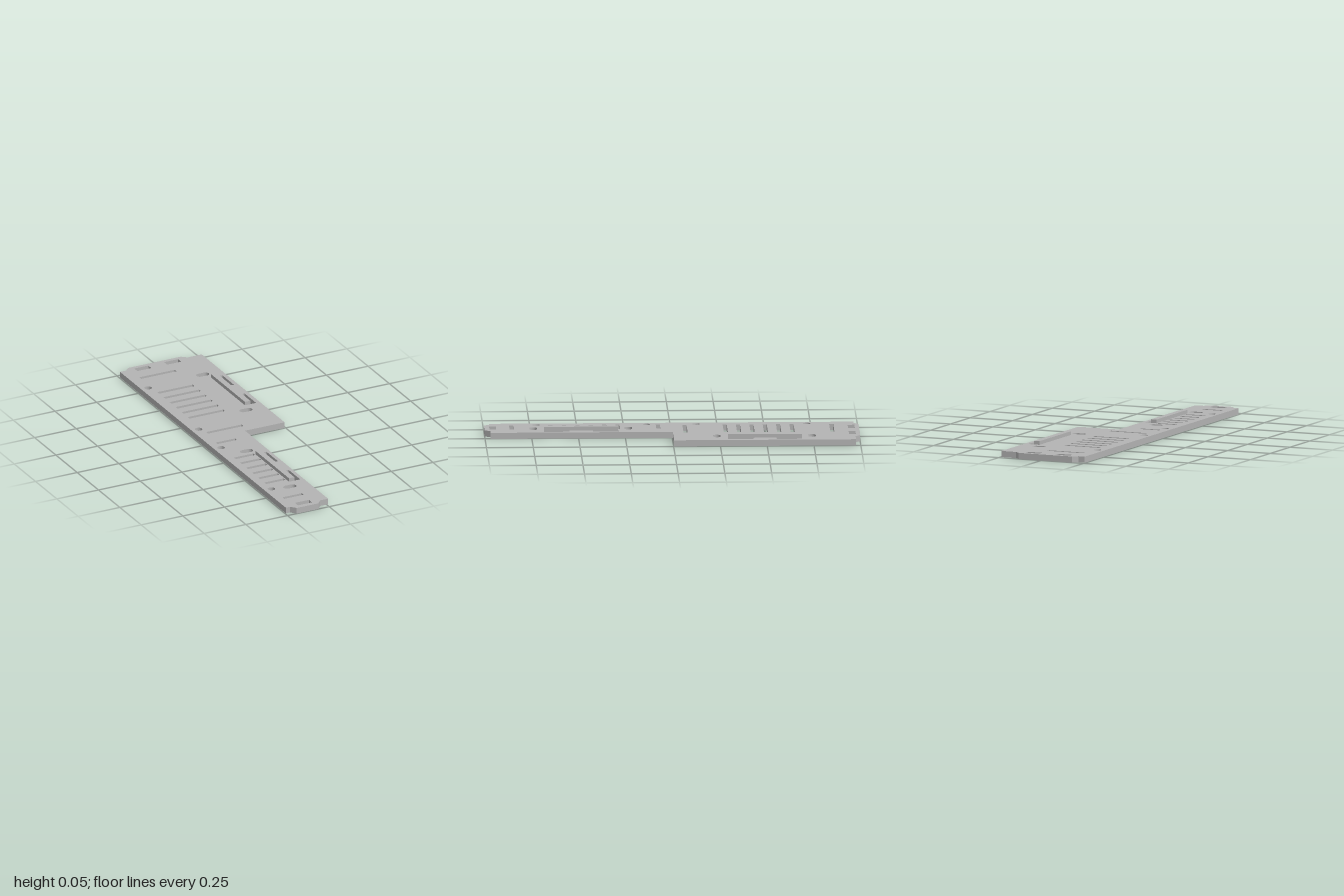
import * as THREE from 'three';

const THICK = 0.033, RAIL_TOP = 0.053;

// Hole outlines in plan, as (x, z)
function rectHole(x0, x1, z0, z1) {
  return new THREE.Path([[x0, z0], [x1, z0], [x1, z1], [x0, z1]].map(p => new THREE.Vector2(...p)));
}
function roundHole(x, z, r) {
  return new THREE.Path().absarc(x, z, r, 0, Math.PI * 2);
}
function ovalHole(x, z, half, r) {
  const path = new THREE.Path();
  path.absarc(x + half - r, z, r, -Math.PI / 2, Math.PI / 2);
  path.absarc(x - half + r, z, r, Math.PI / 2, Math.PI * 1.5);
  path.closePath();
  return path;
}

export function createModel() {
  const model = new THREE.Group();
  const grey = new THREE.MeshStandardMaterial({ color: 0xb4b4b4 });
  grey.name = 'plain grey';

  // Stepped plate: wide at the back, narrow at the front, chamfered end tabs
  const outline = new THREE.Shape([
    [-0.245, -0.975], [-0.209, -0.975], [-0.183, -1], [0.132, -1], [0.16, -0.975], [0.245, -0.975],
    [0.245, -0.003], [0.008, -0.003], [0.008, 0.97],
    [-0.04, 0.97], [-0.065, 1], [-0.195, 1], [-0.22, 0.97], [-0.245, 0.97],
  ].map(p => new THREE.Vector2(...p)));

  // Thin cross slots, mirrored front to back
  for (const z of [0.071, 0.286, 0.357, 0.429, 0.5, 0.571, 0.643, 0.855]) {
    outline.holes.push(rectHole(-0.185, 0.027, -z - 0.011, -z + 0.011));
    outline.holes.push(rectHole(-0.201, -0.085, z - 0.011, z + 0.011));
  }
  // Screw holes
  for (const z of [-0.725, -0.133, 0.131, 0.721]) outline.holes.push(roundHole(-0.204, z, 0.02));
  // Oval holes
  for (const [x, z] of [[0.132, -0.743], [0.132, -0.235], [-0.103, 0.231], [-0.103, 0.739]])
    outline.holes.push(ovalHole(x, z, 0.037, 0.02));
  // End slots
  for (const [x, z] of [[-0.116, -0.96], [0.063, -0.96], [-0.132, 0.955]])
    outline.holes.push(rectHole(x - 0.042, x + 0.042, z - 0.018, z + 0.018));

  // Raised rails, each with two slots along its outer side
  for (const [name, x, z] of [['backRail', 0.171, -0.49], ['frontRail', -0.063, 0.485]]) {
    const rail = new THREE.Mesh(new THREE.BoxGeometry(0.032, RAIL_TOP - THICK, 0.396), grey);
    rail.name = name;
    rail.position.set(x, (RAIL_TOP + THICK) / 2, z);
    model.add(rail);
    for (const s of [-1, 1])
      outline.holes.push(rectHole(x + 0.016, x + 0.051, z + s * 0.13 - 0.068, z + s * 0.13 + 0.068));
  }

  const plateGeometry = new THREE.ExtrudeGeometry(outline, { depth: THICK, bevelEnabled: false, curveSegments: 14 });
  plateGeometry.rotateX(Math.PI / 2).translate(0, THICK, 0);
  const plate = new THREE.Mesh(plateGeometry, grey);
  plate.name = 'plate';
  model.add(plate);

  return model;
}
